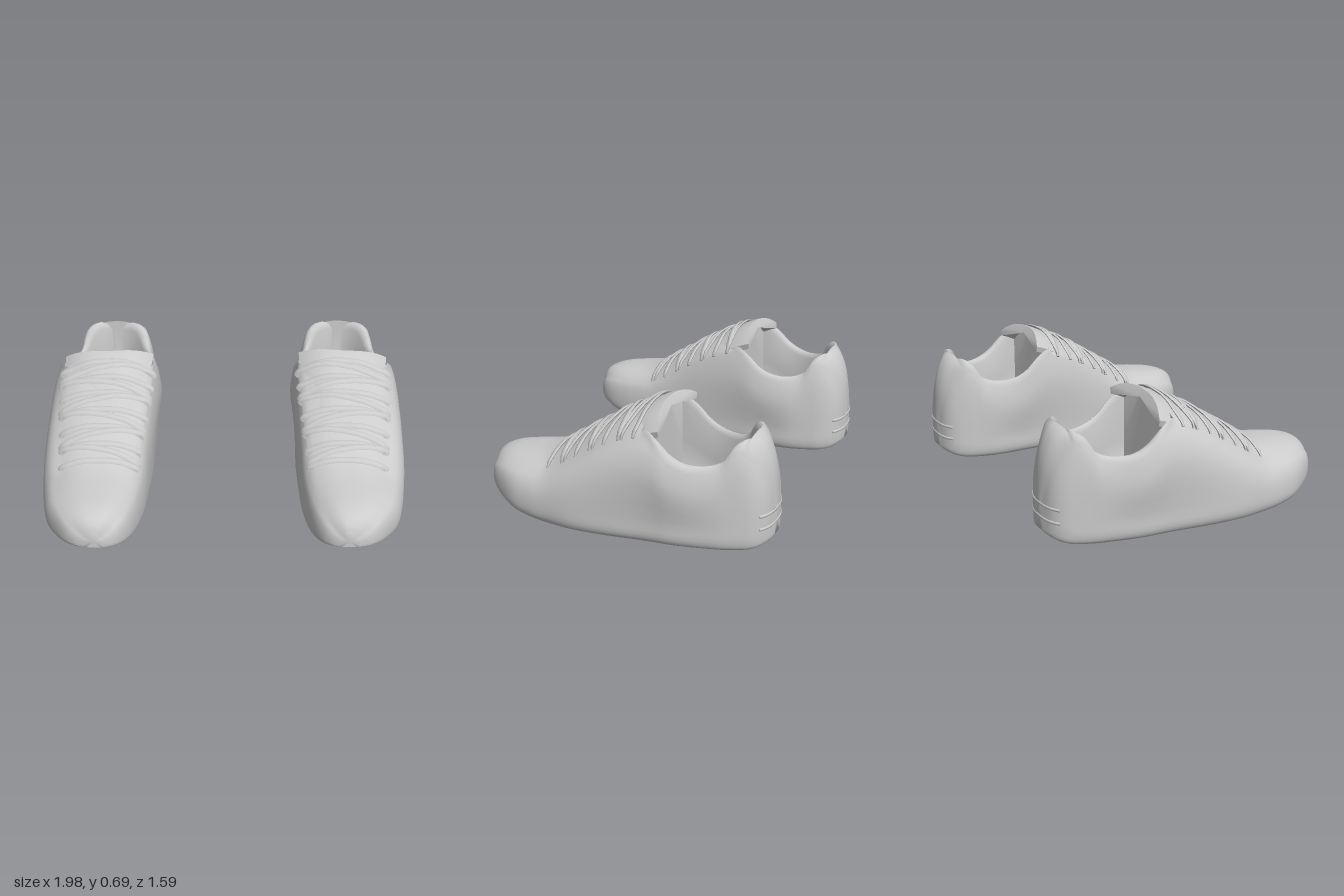
import * as THREE from 'three';
import { toCreasedNormals } from 'three/addons/utils/BufferGeometryUtils.js';

const material = new THREE.MeshStandardMaterial({ color: 0xcccccc, side: THREE.DoubleSide });
const V = (x, y, z) => new THREE.Vector3(x, y, z);
const { lerp, smoothstep } = THREE.MathUtils;
const CENTRE = 0.65;

// Shoe stations: z, inner edge, outer edge, top height, inner shoulder, outer shoulder
const STATIONS = [
  [-0.797, 0.605, 0.685, 0.22, 0.625, 0.665],
  [-0.785, 0.555, 0.74, 0.38, 0.59, 0.70],
  [-0.76, 0.51, 0.785, 0.485, 0.555, 0.74],
  [-0.72, 0.475, 0.82, 0.555, 0.525, 0.77],
  [-0.67, 0.448, 0.845, 0.578, 0.49, 0.805],
  [-0.62, 0.43, 0.867, 0.55, 0.465, 0.83],
  [-0.58, 0.415, 0.885, 0.48, 0.45, 0.85],
  [-0.50, 0.39, 0.915, 0.452, 0.42, 0.885],
  [-0.40, 0.375, 0.95, 0.464, 0.395, 0.925],
  [-0.32, 0.368, 0.97, 0.51, 0.385, 0.935],
  [-0.27, 0.365, 0.975, 0.57, 0.385, 0.93],
  [-0.20, 0.367, 0.98, 0.635, 0.40, 0.90],
  [0.00, 0.385, 0.99, 0.57, 0.42, 0.885],
  [0.20, 0.405, 0.992, 0.45, 0.445, 0.87],
  [0.36, 0.418, 0.975, 0.35, 0.465, 0.86],
  [0.45, 0.43, 0.96, 0.322, 0.475, 0.865],
  [0.55, 0.45, 0.932, 0.308, 0.495, 0.855],
  [0.65, 0.482, 0.872, 0.293, 0.525, 0.82],
  [0.72, 0.525, 0.812, 0.268, 0.56, 0.775],
  [0.755, 0.568, 0.76, 0.235, 0.595, 0.73],
  [0.77, 0.605, 0.715, 0.20, 0.625, 0.695],
];

// Smooth interpolation of the stations at any z
function station(z) {
  const S = STATIONS, n = S.length;
  let i = 0;
  while (i < n - 2 && z > S[i + 1][0]) i++;
  const w = S[i + 1][0] - S[i][0], t = (z - S[i][0]) / w;
  const slope = (k, c) => {
    const a = S[Math.max(k - 1, 0)], b = S[Math.min(k + 1, n - 1)];
    return (b[c] - a[c]) / (b[0] - a[0]);
  };
  const at = (c) => {
    const t2 = t * t, t3 = t2 * t;
    return (2 * t3 - 3 * t2 + 1) * S[i][c] + (t3 - 2 * t2 + t) * w * slope(i, c)
      + (3 * t2 - 2 * t3) * S[i + 1][c] + (t3 - t2) * w * slope(i + 1, c);
  };
  const bottom = z > 0 ? 0.11 * (z / 0.77) ** 4 : 0.06 * (z / 0.8) ** 16;
  const top = at(3);
  // drop from the crown to the shoulders: round heel, flat collar, arched throat, flatter toe
  const drop = 0.02 + 0.07 * smoothstep(-z, 0.64, 0.77)
    + 0.04 * smoothstep(z, -0.32, -0.2) - 0.012 * smoothstep(z, 0.2, 0.5);
  return {
    inner: at(1), outer: at(2), bottom, top, innerTop: at(4), outerTop: at(5),
    side: top - Math.min(drop, 0.35 * (top - bottom)),
  };
}

// Skin over closed rings of points; side -1 mirrors it to the other shoe
function loft(rings, side) {
  const n = rings[0].length, pos = [], idx = [];
  const middle = (r) => r.reduce((s, p) => s.add(p), V(0, 0, 0)).divideScalar(n);
  const capped = [rings[0].map(() => middle(rings[0])), ...rings, rings[0].map(() => middle(rings.at(-1)))];
  capped.forEach((r) => r.forEach((p) => pos.push(p.x * side, p.y, p.z)));
  for (let i = 0; i < capped.length - 1; i++) {
    for (let j = 0; j < n; j++) {
      const k = (j + 1) % n;
      const a = i * n + j, b = i * n + k, c = a + n, d = b + n;
      if (side > 0) idx.push(a, b, d, a, d, c);
      else idx.push(a, d, b, a, c, d);
    }
  }
  const geo = new THREE.BufferGeometry();
  geo.setAttribute('position', new THREE.Float32BufferAttribute(pos, 3));
  geo.setIndex(idx);
  return toCreasedNormals(geo, 0.95);
}

// Flat oval cord swept along a path
function sweep(points, up, thick, wide, side) {
  const curve = new THREE.CatmullRomCurve3(points), rings = [];
  for (let i = 0; i <= 24; i++) {
    const p = curve.getPoint(i / 24), d = curve.getTangent(i / 24);
    const across = d.clone().cross(up).normalize(), e = across.clone().cross(d);
    rings.push(Array.from({ length: 8 }, (_, k) => {
      const a = (k / 8) * Math.PI * 2;
      return p.clone().addScaledVector(e, Math.cos(a) * thick).addScaledVector(across, Math.sin(a) * wide);
    }));
  }
  return loft(rings, side);
}

// Half of a cross-section: sole, wall, then over the vamp or down into the ankle opening
function halfSection(z, s, edge, shoulder, sign) {
  const h = s.side - s.bottom;
  const sole = edge - sign * 0.035 * Math.exp(-(((z + 0.27) / 0.28) ** 2)); // narrow waist
  const pt = (f, y) => V(lerp(CENTRE, sole, f), s.bottom + y, z);
  const wall = new THREE.CatmullRomCurve3([
    pt(0, 0), pt(0.6, 0), pt(0.9, Math.min(0.01, 0.03 * h)), pt(0.98, Math.min(0.045, 0.14 * h)),
    pt(1, Math.min(0.13, 0.38 * h)),
    V(lerp(edge, shoulder, 0.12), s.bottom + 0.66 * h, z),
    V(lerp(edge, shoulder, 0.45), s.bottom + 0.87 * h, z),
    V(shoulder, s.side, z),
  ]).getPoints(22);
  const open = z > -0.678 && z < -0.18;
  if (open) {
    const w = 0.235 * Math.sqrt(1 - Math.abs((z + 0.22) / 0.46) ** 2.4);
    const rim = CENTRE + sign * w;
    const rise = z < -0.45 ? s.top - s.side : Math.min(0.025, s.top - s.side);
    for (const [f, up] of [[0.25, 0.75], [0.5, 1], [0.8, 0.6], [1, -0.6]]) {
      wall.push(V(lerp(shoulder, rim, f), s.side + rise * up, z));
    }
    wall.push(V(rim, s.side * 0.6, z), V(rim, 0.16, z), V(CENTRE + sign * w * 0.9, 0.13, z), V(CENTRE, 0.125, z));
  } else {
    for (let i = 1; i <= 8; i++) {
      const f = i / 8;
      wall.push(V(lerp(shoulder, CENTRE, f), lerp(s.side, s.top, 1 - (1 - f) ** 2.6), z));
    }
  }
  return wall;
}

function shoeBody(side) {
  const zs = [-0.68, -0.676, -0.668, -0.19, -0.17];
  for (let i = 0; i <= 84; i++) zs.push(-0.0135 - 0.7835 * Math.cos((i / 84) * Math.PI));
  zs.sort((a, b) => a - b);
  return loft(zs.map((z) => {
    const s = station(z);
    const out = halfSection(z, s, s.outer, s.outerTop, 1);
    const inn = halfSection(z, s, s.inner, s.innerTop, -1);
    return [...out, ...inn.slice(1, -1).reverse()];
  }), side);
}

// Crown of the tongue, slightly higher on the inner side
const tongueHeight = (z, u) => 0.575 - 0.55 * z - 0.095 * Math.abs(u) ** 2.6 - 0.012 * u;

// Padded tongue rising out of the throat
function tongue(side) {
  const rings = [], N = 16;
  for (let i = 0; i <= 12; i++) {
    const v = 1 - i / 12, topPts = [], under = [];
    for (let j = 0; j <= N; j++) {
      const u = 1 - (2 * j) / N;
      const z = lerp(0.12, -0.21 - 0.055 * u * u, v);
      const x = CENTRE + u * lerp(0.21, 0.245, v);
      const y = tongueHeight(z, u) - 0.012 * v ** 10;
      topPts.push(V(x, y, z));
      under.push(V(CENTRE + (x - CENTRE) * 0.97, y - 0.032, z));
    }
    rings.push([...topPts, ...under.reverse()]);
  }
  return loft(rings, side);
}

// Point on the lacing surface: f runs -1 (inner) to 1 (outer)
function lacePoint(z, f, lift) {
  const s = station(z), g = Math.min(1, Math.abs(f));
  const x = lerp(CENTRE, f > 0 ? s.outerTop : s.innerTop, Math.abs(f));
  const vamp = lerp(s.side, s.top, 1 - g ** 2.6);
  return V(x, (z < 0.1 ? Math.max(vamp, tongueHeight(z, g * Math.sign(f))) : vamp) + lift, z);
}

// One lace run from the inner to the outer eyelet, ends tucked down the sides
function lace(z0, z1, lift, side) {
  const pts = [];
  for (let i = 0; i <= 8; i++) {
    const f = -1 + i / 4;
    pts.push(lacePoint(lerp(z0, z1, i / 8), f, lift));
  }
  const a = lacePoint(z0, -1.06, -0.015), b = lacePoint(z1, 1.06, -0.015);
  return sweep([a, ...pts, b], V(0, 0.85, 0.53), 0.007, 0.017, side);
}

// Raised line wrapping the back of the sole
function heelLine(y, side) {
  const zs = [-0.755, -0.77, -0.785, -0.795];
  const inn = zs.map((z) => V(station(z).inner, y, z));
  const out = zs.map((z) => V(station(z).outer, y, z)).reverse();
  return sweep([...inn, ...out], V(0, 1, 0), 0.008, 0.004, side);
}

function shoe(side) {
  const group = new THREE.Group();
  const add = (name, geo) => {
    const mesh = new THREE.Mesh(geo, material);
    mesh.name = name;
    group.add(mesh);
  };
  add('shoeBody', shoeBody(side));
  add('tongue', tongue(side));
  const rows = 7, rowZ = (k) => 0.36 - 0.083 * k;
  for (let k = 0; k < rows; k++) {
    add('straightLace', lace(rowZ(k), rowZ(k), 0.008, side));
    if (k === rows - 1) break;
    const ends = [rowZ(k) - 0.02, rowZ(k + 1)];
    if (k % 2) ends.reverse();
    add('crossLace', lace(ends[0], ends[1], 0.015, side));
  }
  for (const y of [0.125, 0.195]) add('heelLine', heelLine(y, side));
  return group;
}

export function createModel() {
  const model = new THREE.Group();
  model.name = 'pairOfShoes';
  const left = shoe(1), right = shoe(-1);
  left.name = 'leftShoe';
  left.position.y = 0.008;
  right.name = 'rightShoe';
  right.position.z = 0.023;
  model.add(left, right);
  return model;
}
